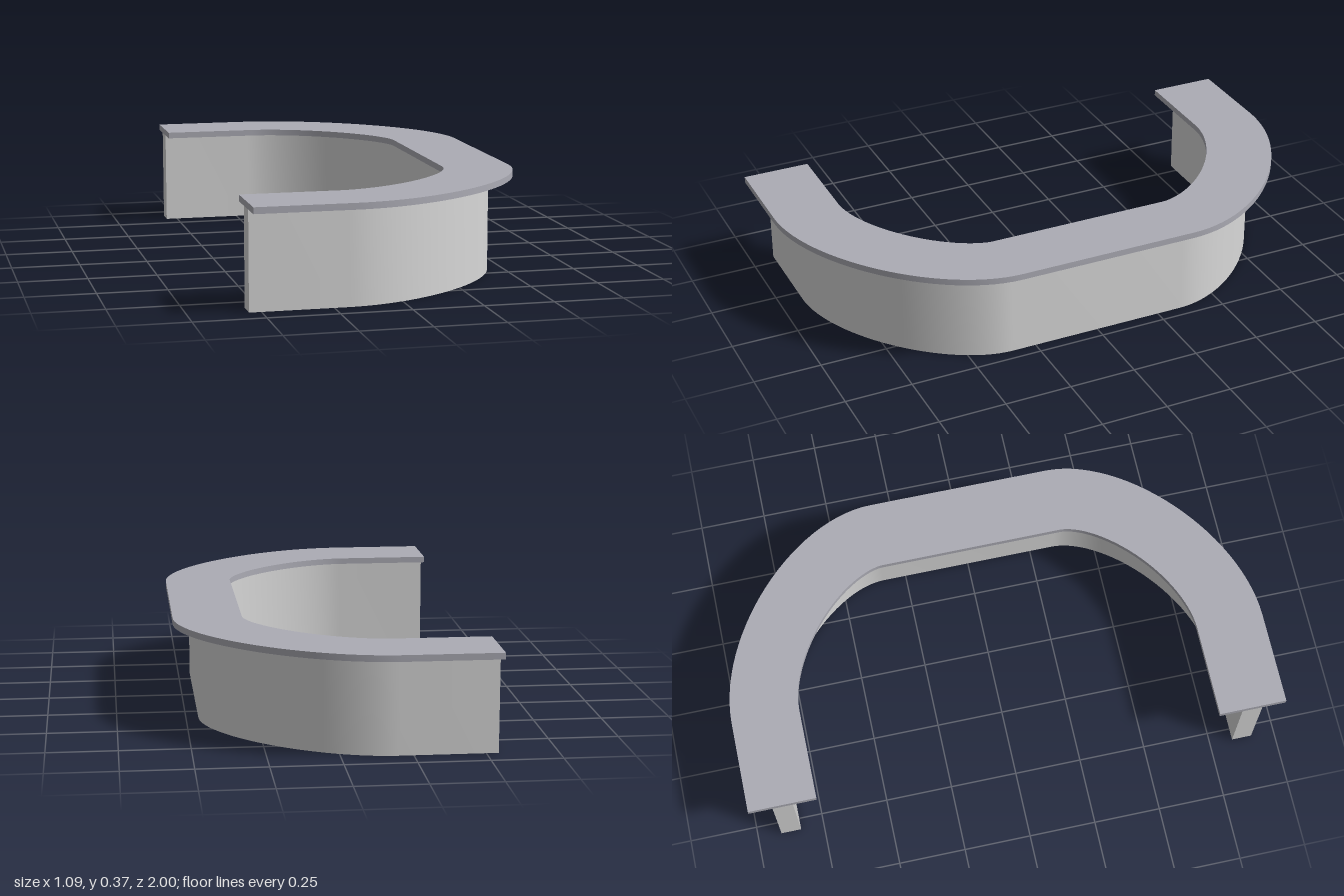
import * as THREE from 'three';
import { toCreasedNormals } from 'three/addons/utils/BufferGeometryUtils.js';

const END_X = -0.543, SIDE_X = 0.543; // cut ends of the arms, straight side
const CX = -0.2, CZ = 0.34;           // where the corner curves start and end
const K = 0.46;                       // fullness of the corner curves
const STEPS = 28;

// Corner curve of the outer edge, in x and z
const corner = new THREE.CubicBezierCurve(
  new THREE.Vector2(CX, 1),
  new THREE.Vector2(CX + K * (SIDE_X - CX), 1),
  new THREE.Vector2(SIDE_X, CZ + K * (1 - CZ)),
  new THREE.Vector2(SIDE_X, CZ)
);

// U-shaped path, inset from the outer edge by d
function edge(d) {
  const half = [new THREE.Vector2(END_X, 1 - d)];
  for (let i = 0; i <= STEPS; i++) {
    const p = corner.getPoint(i / STEPS), t = corner.getTangent(i / STEPS);
    half.push(new THREE.Vector2(p.x + d * t.y, p.y - d * t.x));
  }
  const mirrored = half.map((p) => new THREE.Vector2(p.x, -p.y)).reverse();
  return [...half, ...mirrored];
}

// Solid band between two insets, standing from y0 to y1
function band(name, d0, d1, y0, y1, material) {
  const shape = new THREE.Shape([...edge(d0), ...edge(d1).reverse()]);
  const geo = new THREE.ExtrudeGeometry(shape, { depth: y1 - y0, bevelEnabled: false });
  geo.rotateX(-Math.PI / 2);
  geo.translate(0, y0, 0);
  const mesh = new THREE.Mesh(toCreasedNormals(geo, Math.PI / 6), material);
  mesh.name = name;
  return mesh;
}

export function createModel() {
  const wallGrey = new THREE.MeshStandardMaterial({ color: 0xd8d8d8 });
  wallGrey.name = 'wall grey';
  const topGrey = new THREE.MeshStandardMaterial({ color: 0xacacb5 });
  topGrey.name = 'countertop grey';

  const group = new THREE.Group();
  group.name = 'curvedCounter';
  group.add(band('wall', 0.088, 0.163, 0, 0.349, wallGrey));
  group.add(band('countertop', 0, 0.25, 0.349, 0.372, topGrey));
  return group;
}
